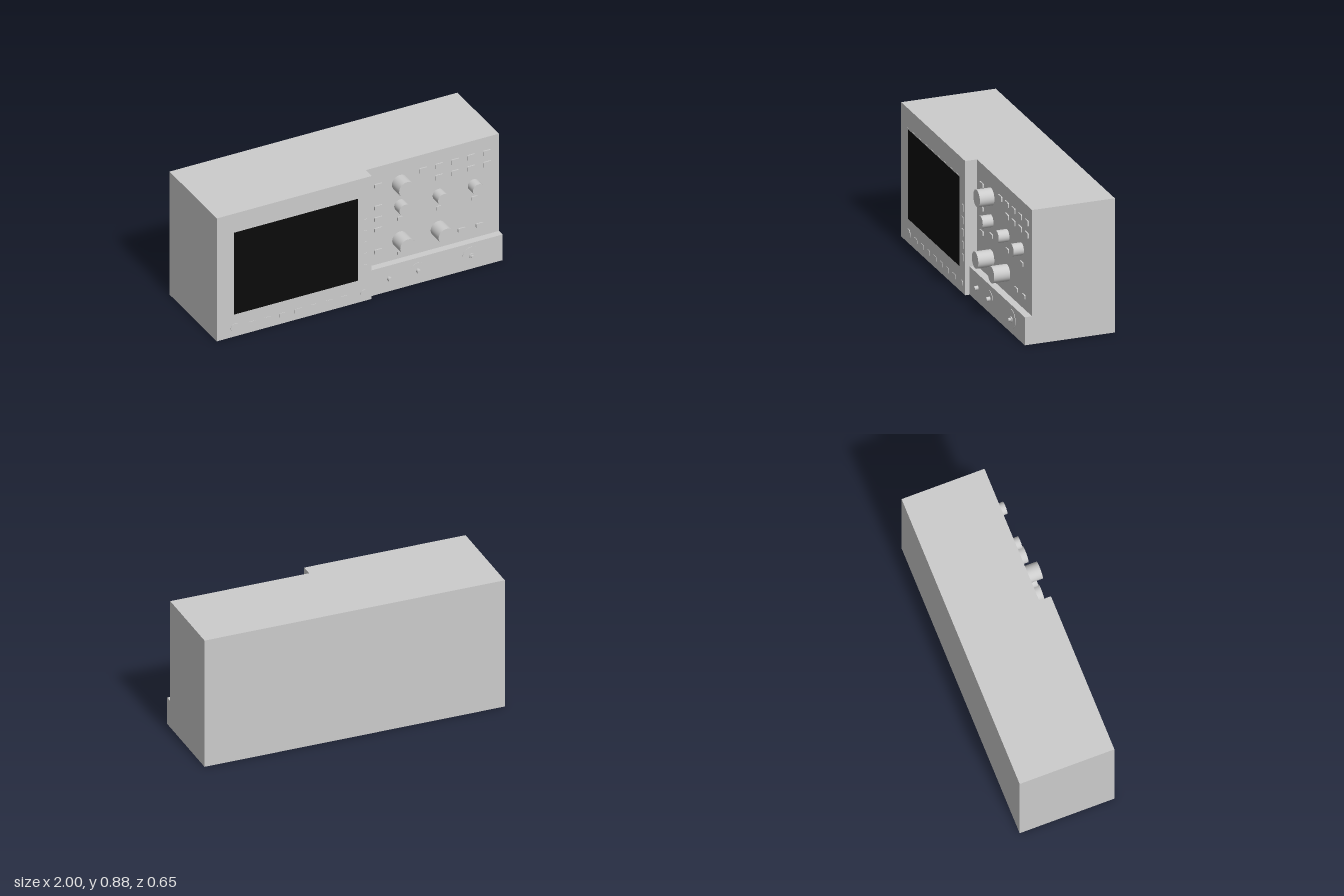
import * as THREE from 'three';

const PANEL = 0.222, BEZEL = 0.3, SHELF = 0.27; // z of the three front faces

export function createModel() {
  const model = new THREE.Group();
  const grey = new THREE.MeshStandardMaterial({ color: 0xcccccc });
  const black = new THREE.MeshStandardMaterial({ color: 0x0a0a0a });

  const add = (name, geometry, material = grey) => {
    const mesh = new THREE.Mesh(geometry, material);
    mesh.name = name;
    model.add(mesh);
    return mesh;
  };
  // Box given by its limits on each axis
  const box = (name, x0, x1, y0, y1, z0, z1, material) =>
    add(name, new THREE.BoxGeometry(x1 - x0, y1 - y0, z1 - z0), material)
      .position.set((x0 + x1) / 2, (y0 + y1) / 2, (z0 + z1) / 2);
  // Cylinder standing out from a front face
  const disc = (name, x, y, r, z0, z1, sides = 32) => {
    const g = new THREE.CylinderGeometry(r, r, z1 - z0, sides).rotateX(Math.PI / 2);
    add(name, g).position.set(x, y, (z0 + z1) / 2);
  };
  // Flat shape raised from a front face
  const raise = (name, shape, x, y, z, depth) => {
    const g = new THREE.ExtrudeGeometry(shape, { depth, bevelEnabled: false, curveSegments: 20 });
    add(name, g).position.set(x, y, z);
  };
  // Button outline with rounded corners
  const button = (name, x, y, w, h, z, depth) => {
    const r = Math.min(w, h) * 0.2, a = w / 2 - r, b = h / 2 - r;
    const s = new THREE.Shape();
    s.absarc(a, b, r, 0, Math.PI / 2);
    s.absarc(-a, b, r, Math.PI / 2, Math.PI);
    s.absarc(-a, -b, r, Math.PI, Math.PI * 1.5);
    s.absarc(a, -b, r, Math.PI * 1.5, Math.PI * 2);
    s.closePath();
    raise(name, s, x, y, z, depth);
  };

  // Housing, raised screen bezel and connector shelf
  box('housing', -1, 1, 0, 0.885, -0.325, PANEL);
  box('screenBezel', -1, 0.075, 0, 0.885, PANEL, BEZEL);
  box('connectorShelf', 0.075, 1, 0, 0.185, PANEL, SHELF);

  // Screen with its thin surround
  box('screenSurround', -0.89, -0.013, 0.152, 0.757, BEZEL - 0.002, BEZEL + 0.001);
  box('screen', -0.882, -0.021, 0.16, 0.749, BEZEL - 0.002, BEZEL + 0.002, black);

  // Keys beside and below the screen
  for (let i = 0; i < 5; i++) button('sideKey', 0.033, 0.562 - i * 0.0815, 0.025, 0.052, BEZEL, 0.004);
  for (let i = 0; i < 7; i++) button('lowerKey', -0.755 + i * 0.107, 0.06, 0.052, 0.034, BEZEL, 0.003);
  disc('powerButton', -0.872, 0.063, 0.032, BEZEL, BEZEL + 0.004);
  disc('roundKey', 0.02, 0.06, 0.022, BEZEL, BEZEL + 0.004);

  // Control knobs: x, y, radius, front z
  [
    [0.313, 0.727, 0.056, 0.318],
    [0.313, 0.567, 0.04, 0.293], [0.58, 0.567, 0.04, 0.293], [0.824, 0.567, 0.04, 0.29],
    [0.313, 0.322, 0.054, 0.328], [0.58, 0.322, 0.054, 0.328],
  ].forEach(([x, y, r, z]) => disc('knob', x, y, r, PANEL, z, 40));

  // Two rows of large buttons at the upper right
  for (let i = 0; i < 5; i++) {
    const x = 0.473 + i * 0.111;
    button('menuButton', x, 0.773, 0.058, 0.038, PANEL, 0.008);
    if (i > 0) button('menuButton', x, 0.692, 0.058, 0.038, PANEL, 0.008);
  }
  // Left column and the small buttons below the knobs
  for (const y of [0.75, 0.594, 0.511, 0.434, 0.278])
    button('columnButton', 0.162, y, 0.056, 0.031, PANEL, 0.008);
  for (const [x, y] of [[0.32, 0.471], [0.588, 0.471], [0.832, 0.471], [0.32, 0.225], [0.74, 0.268], [0.865, 0.268]])
    button('smallButton', x, y, 0.052, 0.03, PANEL, 0.008);

  // Connectors: pins, and collars cut off along a chord
  const collar = (x, y, r, from, to) => {
    const s = new THREE.Shape();
    s.absarc(0, 0, r, THREE.MathUtils.degToRad(from), THREE.MathUtils.degToRad(to));
    s.closePath();
    raise('connectorCollar', s, x, y, SHELF - 0.002, 0.005);
  };
  disc('connectorPin', 0.211, 0.094, 0.014, SHELF, 0.295, 20);
  disc('connectorPin', 0.412, 0.094, 0.014, SHELF, 0.295, 20);
  collar(0.412, 0.094, 0.055, 10, 145);
  collar(0.783, 0.097, 0.062, -55, 180);
  disc('connectorRing', 0.783, 0.094, 0.019, SHELF, 0.28, 20);
  disc('connectorPin', 0.783, 0.094, 0.011, SHELF, 0.295, 20);

  return model;
}
